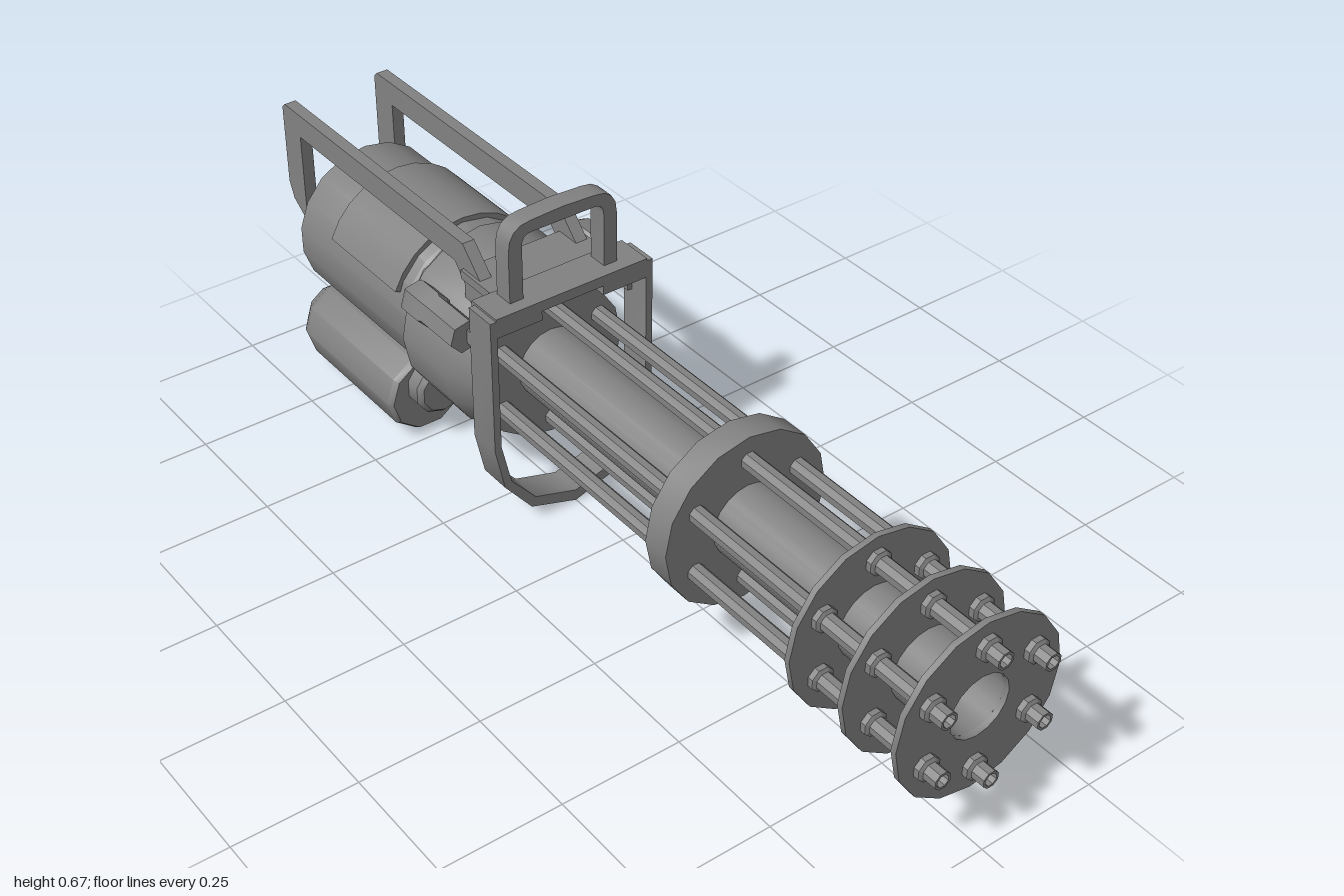
import * as THREE from 'three';
import { toCreasedNormals } from 'three/addons/utils/BufferGeometryUtils.js';

const AXIS_Y = 0.295;

export function createModel() {
  const model = new THREE.Group();
  model.name = 'rotaryGun';
  const material = new THREE.MeshStandardMaterial({ color: 0x828282, side: THREE.DoubleSide });

  const add = (name, geometry, x = 0, y = 0, z = 0) => {
    const mesh = new THREE.Mesh(toCreasedNormals(geometry, 0.65), material);
    mesh.name = name;
    mesh.position.set(x, y, z);
    model.add(mesh);
  };
  // Profile of [radius, z] pairs turned around the z axis
  const turned = (profile, sides, start = 0, sweep = Math.PI * 2) =>
    new THREE.LatheGeometry(profile.map(([r, z]) => new THREE.Vector2(r, z)), sides, start, sweep)
      .rotateX(Math.PI / 2);
  const shapeOf = (points) => new THREE.Shape(points.map(([x, y]) => new THREE.Vector2(x, y)));
  const extrude = (shape, depth) =>
    new THREE.ExtrudeGeometry(shape, { depth, bevelEnabled: false, curveSegments: 4 });
  // Box given by its limits
  const box = (name, x0, x1, y0, y1, z0, z1) =>
    add(name, new THREE.BoxGeometry(x1 - x0, y1 - y0, z1 - z0), (x0 + x1) / 2, (y0 + y1) / 2, (z0 + z1) / 2);

  // Central hollow tube
  add('centralTube', turned([[0, -0.25], [0.075, -0.25], [0.075, 0.945], [0.065, 0.945],
    [0.065, -0.1], [0, -0.1]], 20), 0, AXIS_Y);

  // Barrel clamp discs
  for (const [z, depth] of [[0.945, 0.012], [0.817, 0.012], [0.685, 0.012], [0.307, 0.058]]) {
    add('barrelDisc', turned([[0.065, z], [0.18, z], [0.18, z + depth], [0.065, z + depth], [0.065, z]], 16), 0, AXIS_Y);
  }

  // Six barrels with stepped collars at the thin discs and an open bore
  const barrel = [[0.018, -0.25]];
  for (const z of [0.691, 0.823, 0.951]) {
    barrel.push([0.018, z - 0.021], [0.025, z - 0.017], [0.025, z + 0.017], [0.018, z + 0.021]);
  }
  barrel.push([0.018, 1], [0.013, 1], [0.013, 0.85], [0, 0.85]);
  for (let i = 0; i < 6; i++) {
    const a = Math.PI / 2 + (i * Math.PI) / 3;
    add('barrel', turned(barrel, 8, Math.PI / 8), 0.13 * Math.cos(a), AXIS_Y + 0.13 * Math.sin(a));
  }

  // Collar behind the barrels
  add('motorCollar', turned([[0, -0.5], [0.16, -0.5], [0.168, -0.475], [0.188, -0.465], [0.188, -0.32],
    [0.168, -0.27], [0.165, -0.23], [0, -0.23]], 16), 0, AXIS_Y);

  // Motor housing with a curved cover wrapped over the top
  add('motorHousing', turned([[0, -0.957], [0.093, -0.957], [0.166, -0.89],
    [0.166, -0.5], [0.15, -0.475], [0, -0.475]], 18), 0, AXIS_Y);
  add('housingCover', turned([[0.16, -0.765], [0.176, -0.765], [0.176, -0.525],
    [0.16, -0.525]], 10, Math.PI * 0.622, Math.PI * 0.756), 0, AXIS_Y);

  // U-shaped strap hanging below the top plate
  const outer = [[0.185, 0.497], [0.185, 0.205], [0.165, 0.11], [0.105, 0.035], [0, 0.002]];
  const inner = [[0, 0.027], [0.095, 0.055], [0.15, 0.12], [0.17, 0.21], [0.17, 0.497]];
  const flip = (points) => points.map(([x, y]) => [-x, y]).reverse();
  const strap = shapeOf([...outer, ...flip(outer).slice(1), ...flip(inner), ...inner.slice(1)]);
  add('frameStrap', extrude(strap, 0.07), 0, 0, -0.225);

  // Notched top plate and the mount behind it
  const plate = shapeOf([[-0.172, 0.46], [-0.07, 0.46], [-0.07, 0.48], [0.07, 0.48], [0.07, 0.46],
    [0.172, 0.46], [0.172, 0.502], [-0.172, 0.502]]);
  add('topPlate', extrude(plate, 0.08), 0, 0, -0.235);
  box('rearMount', -0.13, 0.13, 0.481, 0.5, -0.335, -0.235);

  // Upright front handle
  const handle = new THREE.Shape();
  handle.moveTo(0.122, 0.5).lineTo(0.122, 0.61).quadraticCurveTo(0.122, 0.664, 0.07, 0.664)
    .lineTo(0, 0.667).lineTo(-0.07, 0.664).quadraticCurveTo(-0.122, 0.664, -0.122, 0.61).lineTo(-0.122, 0.5)
    .lineTo(-0.092, 0.5).lineTo(-0.092, 0.615).quadraticCurveTo(-0.092, 0.639, -0.07, 0.639)
    .lineTo(0.07, 0.639).quadraticCurveTo(0.092, 0.639, 0.092, 0.615).lineTo(0.092, 0.5);
  add('frontHandle', extrude(handle, 0.042), 0, 0, -0.225);

  // Side profile of a rear handle, drawn towards the back
  const rail = shapeOf([[0.27, 0.49], [0.335, 0.555], [0.99, 0.555], [1, 0.545], [1, 0.37], [0.985, 0.335],
    [0.935, 0.3], [0.935, 0.503], [0.365, 0.503], [0.335, 0.47], [0.27, 0.47]]);

  for (const side of [1, -1]) {
    const name = side > 0 ? 'left' : 'right';
    add(name + 'RearHandle', extrude(rail, 0.026).rotateY(Math.PI / 2), side * 0.11 - 0.013);

    // Block joining the mount to the collar
    const x = side * 0.097;
    box(name + 'MountFoot', x - 0.025, x + 0.025, 0.43, 0.485, -0.335, -0.235);

    // Faceted side knob and its bracket
    add(name + 'Knob', turned([[0, -0.41], [0.032, -0.41], [0.038, -0.4], [0.038, -0.345], [0.034, -0.34],
      [0.034, -0.237], [0, -0.237]], 6, 0.3 * side), side * 0.187, 0.425);
    box(name + 'KnobBracket', side * 0.172 - 0.012, side * 0.172 + 0.012, 0.41, 0.44, -0.39, -0.2);

    // Lower canister with its neck
    add(name + 'Canister', turned([[0, -0.893], [0.06, -0.893], [0.086, -0.858], [0.09, -0.845],
      [0.09, -0.53], [0.083, -0.517], [0, -0.517]], 10, Math.PI / 10), side * 0.106, 0.1);
    add(name + 'CanisterNeck', turned([[0, -0.53], [0.06, -0.53], [0.06, -0.485], [0.05, -0.474],
      [0, -0.474]], 10), side * 0.095, 0.127);
  }

  return model;
}
